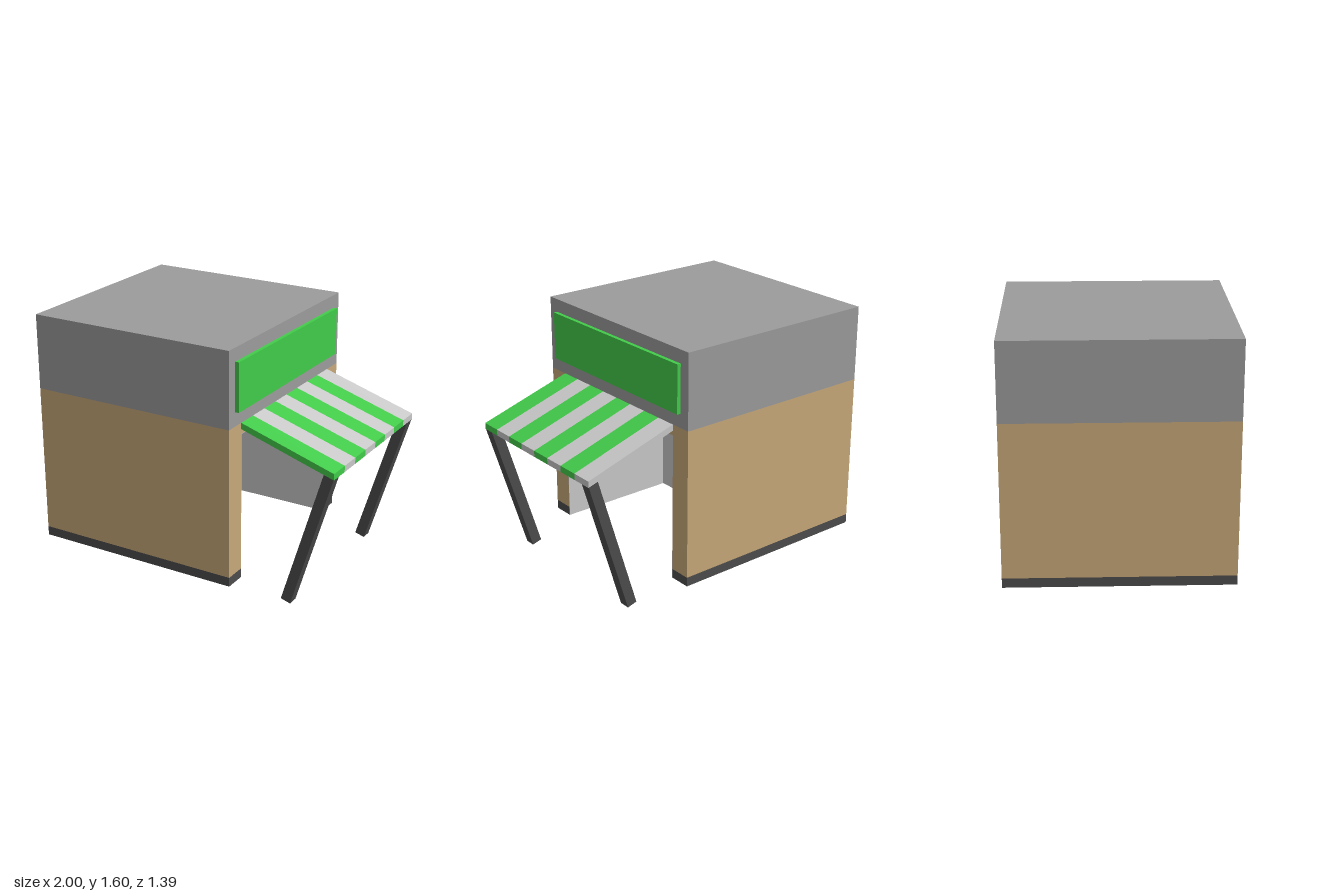
import * as THREE from 'three';

const mat = (name, color) => {
  const m = new THREE.MeshStandardMaterial({ color });
  m.name = name;
  return m;
};

export function createModel() {
  const roofGrey = mat('roof grey', 0x9c9c9c);
  const tan = mat('wall tan', 0xc8a97a);
  const dark = mat('dark grey', 0x4d4d4d);
  const green = mat('green', 0x42cc4a);
  const light = mat('light grey', 0xc9c9c9);

  const model = new THREE.Group();
  model.name = 'shopStall';

  const add = (name, geometry, material) => {
    const mesh = new THREE.Mesh(geometry, material);
    mesh.name = name;
    model.add(mesh);
    return mesh;
  };
  // Box given by its lower and upper limits on each axis
  const box = (name, material, [x0, x1], [y0, y1], [z0, z1]) =>
    add(name, new THREE.BoxGeometry(x1 - x0, y1 - y0, z1 - z0), material)
      .position.set((x0 + x1) / 2, (y0 + y1) / 2, (z0 + z1) / 2);
  const polygon = (points) => new THREE.Shape(points.map(([x, y]) => new THREE.Vector2(x, y)));
  const extrude = (points, depth) =>
    new THREE.ExtrudeGeometry(polygon(points), { depth, bevelEnabled: false });

  const back = -1, front = 0.385, half = 0.695;
  const bayHalf = 0.555, bayBack = -0.43, bayTop = 1.04;
  const bottom = 0.085;

  // U-shaped floor plan around the entrance bay, which is open underneath
  const plan = [
    [back, -half], [front, -half], [front, -bayHalf], [bayBack, -bayHalf],
    [bayBack, bayHalf], [front, bayHalf], [front, half], [back, half],
  ];
  const storey = (name, material, y0, y1) => {
    const g = extrude(plan, y1 - y0).rotateX(-Math.PI / 2).translate(0, y0, 0);
    add(name, g, material);
  };
  storey('base', dark, bottom, 0.145);
  storey('walls', tan, 0.145, bayTop);
  box('lintel', tan, [back, front], [bayTop, 1.11], [-half, half]);
  box('upperBlock', roofGrey, [back, front], [1.11, 1.595], [-half, half]);

  // Light lining of the bay
  const t = 0.003;
  box('bayBackWall', light, [bayBack, bayBack + t], [bottom, bayTop], [-bayHalf, bayHalf]);
  box('bayCeiling', light, [bayBack, front], [bayTop - t, bayTop], [-bayHalf, bayHalf]);
  box('bayLeftWall', light, [bayBack, front], [bottom, bayTop], [bayHalf - t, bayHalf]);
  box('bayRightWall', light, [bayBack, front], [bottom, bayTop], [-bayHalf, -bayHalf + t]);

  // Sign board
  box('signBoard', green, [front, 0.41], [1.2, 1.51], [-0.625, 0.625]);

  // Sloping awning made of eight stripes
  const slope = [[front, 1.07], [1, 0.88], [1, 0.92], [front, 1.11]];
  const stripe = (2 * bayHalf) / 8;
  for (let i = 0; i < 8; i++) {
    const g = extrude(slope, stripe).translate(0, 0, -bayHalf + i * stripe);
    add('awningStripe' + (i + 1), g, i % 2 ? green : light);
  }

  // Slanted posts under the awning's outer corners
  const post = [[0.667, 0.019], [0.731, 0], [0.998, 0.881], [0.934, 0.9]];
  for (const [name, z] of [['leftPost', bayHalf - 0.07], ['rightPost', -bayHalf]]) {
    add(name, extrude(post, 0.07).translate(0, 0, z), dark);
  }

  return model;
}
